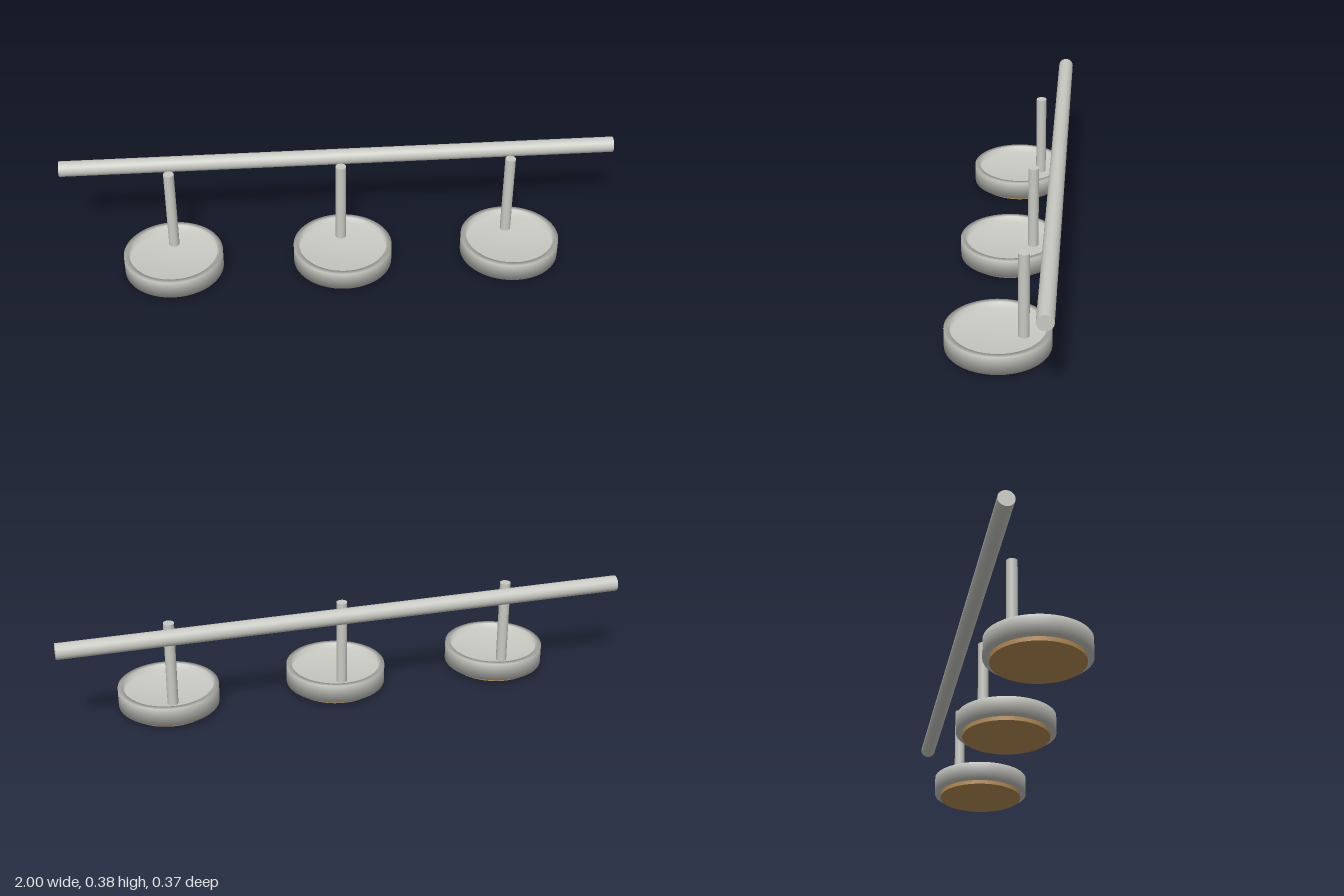
import * as THREE from 'three';

const metal = new THREE.MeshStandardMaterial({ color: 0xc8c9c2 });
metal.name = 'pale grey metal';
const amber = new THREE.MeshStandardMaterial({ color: 0xb58c54 });
amber.name = 'amber diffuser';

function part(name, geometry, material, x = 0, y = 0, z = 0) {
  const mesh = new THREE.Mesh(geometry, material);
  mesh.name = name;
  mesh.position.set(x, y, z);
  return mesh;
}

const R = 0.1775, INNER = 0.158, BOTTOM = 0.015, FLOOR = 0.053, TOP = 0.081;

// One lamp head: shallow dish, off-centre stem and diffuser disc underneath
function createLamp() {
  const lamp = new THREE.Group();
  lamp.name = 'lamp';

  // dish: underside, wall, rim, inner wall and floor, softly shaded
  const profile = [[0, BOTTOM], [R, BOTTOM], [R, TOP], [INNER, TOP], [INNER, FLOOR], [0, FLOOR]];
  lamp.add(part('dish',
    new THREE.LatheGeometry(profile.map(([r, y]) => new THREE.Vector2(r, y)), 64), metal));

  // stem
  const stemTop = 0.362;
  lamp.add(part('stem', new THREE.CylinderGeometry(0.019, 0.019, stemTop - FLOOR, 32),
    metal, 0, (FLOOR + stemTop) / 2, -0.084));

  // diffuser
  lamp.add(part('diffuser', new THREE.CylinderGeometry(0.156, 0.156, BOTTOM, 64),
    amber, 0, BOTTOM / 2, 0));
  return lamp;
}

export function createModel() {
  const model = new THREE.Group();
  model.name = 'railLight';

  // horizontal rail behind the stems
  const rail = part('rail', new THREE.CylinderGeometry(0.028, 0.028, 2, 40), metal, 0, 0.348, -0.158);
  rail.rotation.z = Math.PI / 2;
  model.add(rail);

  // three evenly spaced lamps
  for (const x of [-0.61, 0, 0.61]) {
    const lamp = createLamp();
    lamp.position.set(x, 0, 0.0095);
    model.add(lamp);
  }
  return model;
}
